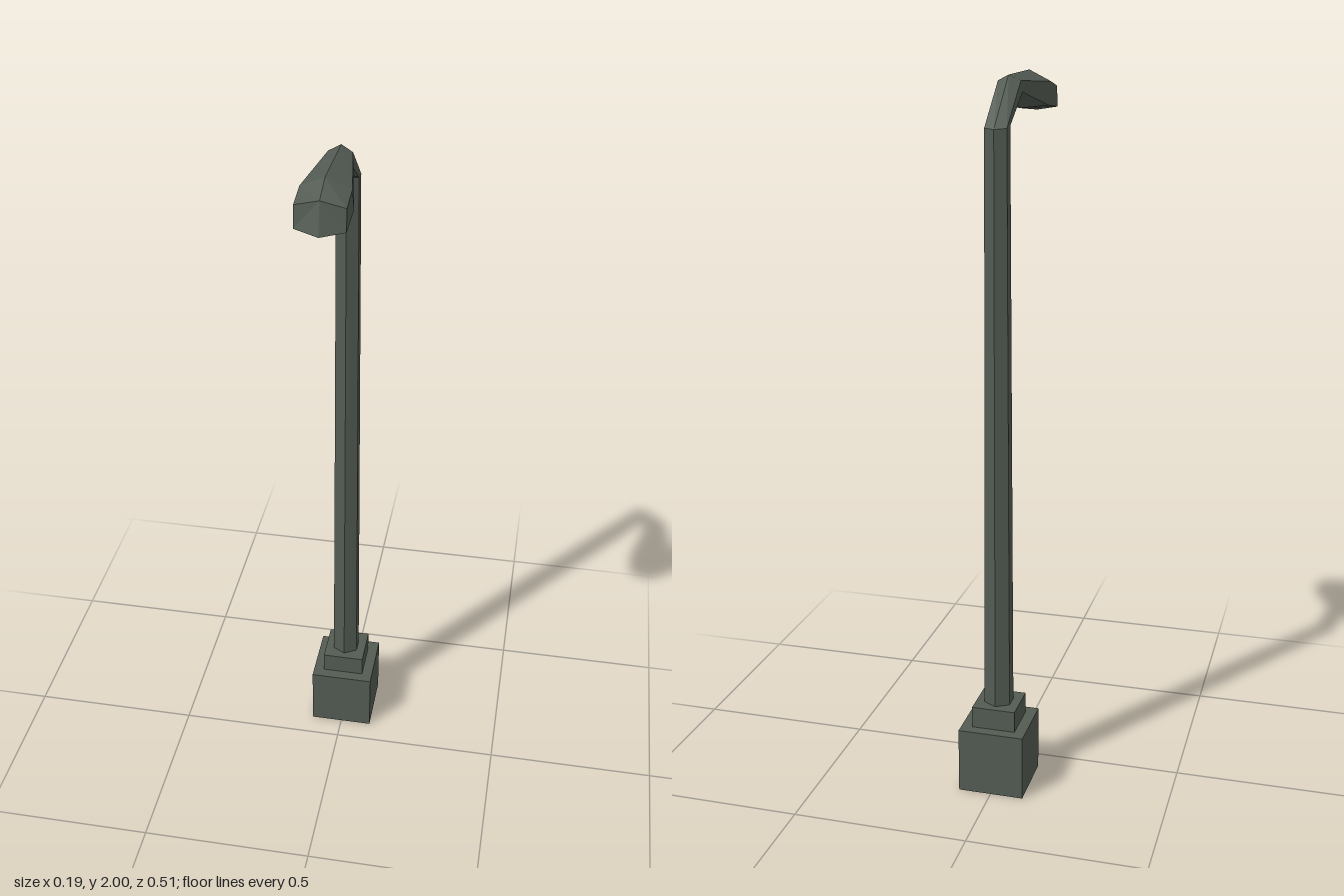
import * as THREE from 'three';

// Six-sided cross-section: [x, y, z] corners from the back/top ridge, round the left side,
// to the front/bottom ridge and back. Each half is given once and mirrored in x.
function ring(ridge, upper, lower, keel) {
  const mirror = ([x, y, z]) => [-x, y, z];
  return [ridge, upper, lower, keel, mirror(lower), mirror(upper)];
}

// Regular ring between a back ridge and a front keel, each given as [y, z].
function evenRing(back, front, halfWidth) {
  const at = (t, x) => [x, back[0] + (front[0] - back[0]) * t, back[1] + (front[1] - back[1]) * t];
  return ring(at(0, 0), at(0.25, halfWidth), at(0.75, halfWidth), at(1, 0));
}

// Flat-faced skin over successive rings, optionally closed at the far end.
function loft(rings, closeEnd) {
  const pos = [];
  const tri = (a, b, c) => pos.push(...a, ...b, ...c);
  for (let i = 0; i < rings.length - 1; i++) {
    const a = rings[i], b = rings[i + 1];
    for (let j = 0; j < 6; j++) {
      const k = (j + 1) % 6;
      tri(a[j], b[j], b[k]);
      tri(a[j], b[k], a[k]);
    }
  }
  if (closeEnd) {
    const e = rings[rings.length - 1];
    for (let j = 1; j < 5; j++) tri(e[0], e[j + 1], e[j]);
  }
  const geo = new THREE.BufferGeometry();
  geo.setAttribute('position', new THREE.Float32BufferAttribute(pos, 3));
  geo.computeVertexNormals();
  return geo;
}

export function createModel() {
  const model = new THREE.Group();
  model.name = 'streetLamp';
  const paint = new THREE.MeshStandardMaterial({ color: 0x535b53 });
  paint.name = 'grey green metal';

  const add = (name, geometry) => {
    const mesh = new THREE.Mesh(geometry, paint);
    mesh.name = name;
    model.add(mesh);
    return mesh;
  };

  // Stepped square base
  const poleZ = -0.161;
  add('baseBlock', new THREE.BoxGeometry(0.188, 0.19, 0.188)).position.set(0, 0.095, poleZ);
  add('baseStep', new THREE.BoxGeometry(0.125, 0.062, 0.125)).position.set(0, 0.221, poleZ);

  // Cross-sections from the foot of the pole to the tip of the lamp
  const foot = evenRing([0.25, -0.203], [0.25, -0.119], 0.037);
  const poleTop = evenRing([1.865, -0.193], [1.874, -0.127], 0.03);
  const elbow = evenRing([1.994, -0.051], [1.935, -0.016], 0.031);
  const shoulder = ring([0, 2, 0.165], [0.063, 1.97, 0.155], [0.063, 1.908, 0.13], [0, 1.903, 0.063]);
  const tip = ring([0, 1.972, 0.235], [0.063, 1.955, 0.229], [0.063, 1.898, 0.236], [0, 1.888, 0.253]);

  add('pole', loft([foot, poleTop], false));
  add('arm', loft([poleTop, elbow], false));
  add('lampHead', loft([elbow, shoulder, tip], true));

  return model;
}
